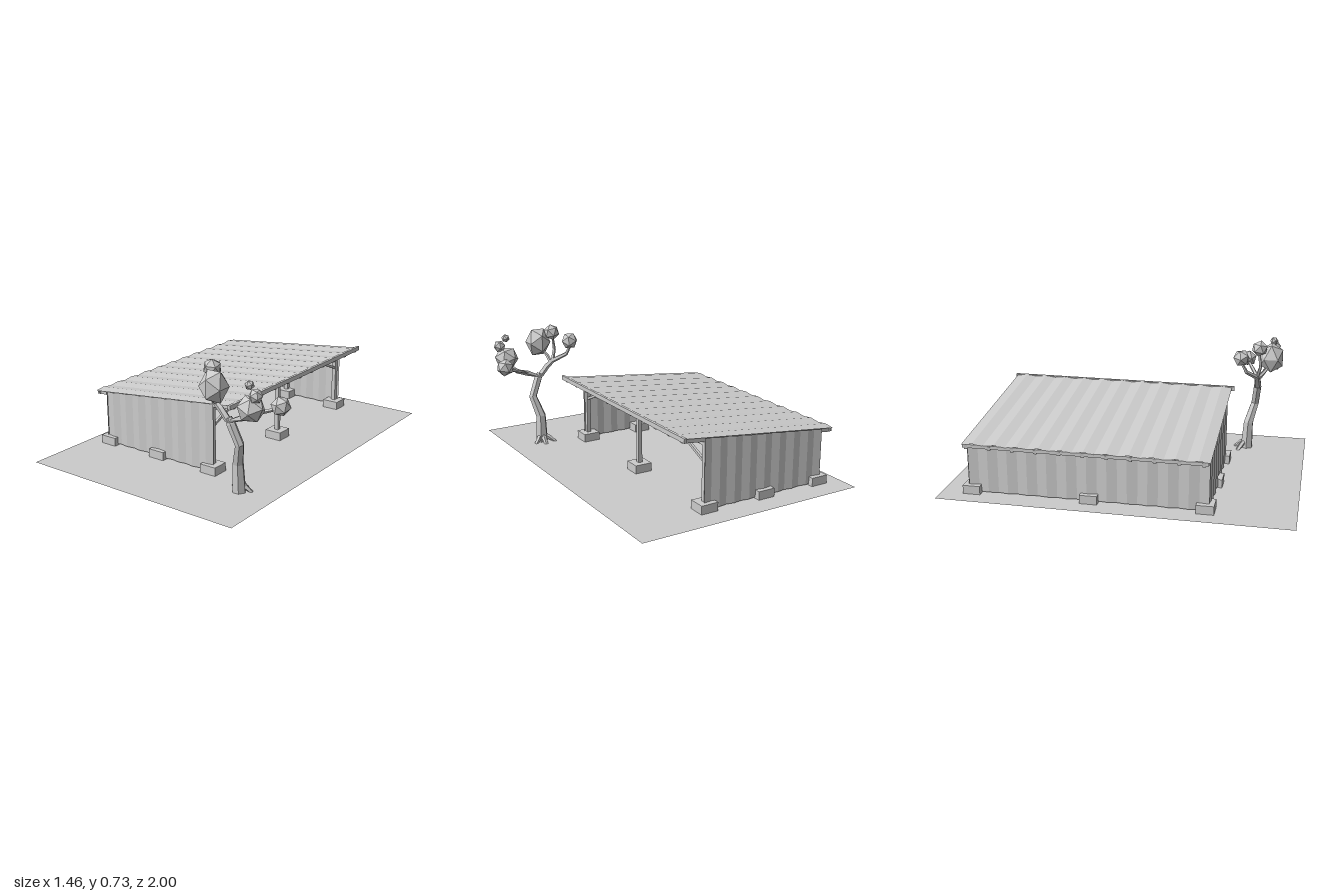
import * as THREE from 'three';

const mat = new THREE.MeshStandardMaterial({ color: 0xcccccc, flatShading: true });
const sheetMat = new THREE.MeshStandardMaterial({ color: 0xcccccc, flatShading: true, side: THREE.DoubleSide });
const V = (x, y, z) => new THREE.Vector3(x, y, z);
const Z_FRONT = 0.53, Z_BACK = -0.84;
const roofY = (x) => 0.318 + (x + 0.68) * 0.112;

export function createModel() {
  const root = new THREE.Group();
  root.name = 'shelterWithTree';

  const add = (parent, name, geometry, material = mat) => {
    const mesh = new THREE.Mesh(geometry, material);
    mesh.name = name;
    parent.add(mesh);
    return mesh;
  };
  const group = (name) => {
    const g = new THREE.Group();
    g.name = name;
    root.add(g);
    return g;
  };
  const block = (parent, name, w, h, d, x, y, z) => {
    const mesh = add(parent, name, new THREE.BoxGeometry(w, h, d));
    mesh.position.set(x, y, z);
    return mesh;
  };
  // Square timber between two points
  const timber = (parent, name, a, b, w, h = w) => {
    const mesh = add(parent, name, new THREE.BoxGeometry(w, h, a.distanceTo(b)));
    mesh.position.copy(a).add(b).multiplyScalar(0.5);
    mesh.lookAt(b);
    return mesh;
  };
  // Folded sheet: place(u, v, fold) maps unit coordinates to space
  const sheet = (parent, name, folds, place) => {
    const geo = new THREE.PlaneGeometry(1, 1, folds * 2, 1);
    const p = geo.attributes.position;
    for (let i = 0; i < p.count; i++) {
      const column = i % (folds * 2 + 1);
      p.setXYZ(i, ...place(p.getX(i) + 0.5, p.getY(i) + 0.5, column % 2 ? 0.004 : -0.004));
    }
    geo.computeVertexNormals();
    return add(parent, name, geo, sheetMat);
  };
  // Tapered faceted limb through points [x, y, z, radius]
  const limb = (parent, name, pts, sides = 5) => {
    const pos = [], index = [];
    const centres = pts.map((p) => V(p[0], p[1], p[2]));
    centres.forEach((c, i) => {
      const dir = centres[Math.min(i + 1, pts.length - 1)].clone()
        .sub(centres[Math.max(i - 1, 0)]).normalize();
      const q = new THREE.Quaternion().setFromUnitVectors(V(0, 1, 0), i ? dir : V(0, 1, 0));
      for (let s = 0; s < sides; s++) {
        const a = (s / sides) * Math.PI * 2;
        const v = V(Math.cos(a), 0, -Math.sin(a)).multiplyScalar(pts[i][3]).applyQuaternion(q).add(c);
        pos.push(v.x, v.y, v.z);
        if (i) {
          const t = (s + 1) % sides, lo = (i - 1) * sides, hi = i * sides;
          index.push(lo + s, lo + t, hi + t, lo + s, hi + t, hi + s);
        }
      }
    });
    const last = (pts.length - 1) * sides;
    for (let s = 1; s < sides - 1; s++) index.push(last, last + s, last + s + 1);
    const geo = new THREE.BufferGeometry();
    geo.setAttribute('position', new THREE.Float32BufferAttribute(pos, 3));
    geo.setIndex(index);
    geo.computeVertexNormals();
    return add(parent, name, geo);
  };

  // Ground sheet
  const ground = add(root, 'ground', new THREE.PlaneGeometry(1.39, 2), sheetMat);
  ground.rotation.x = -Math.PI / 2;
  ground.position.x = -0.035;

  // Footings and posts round the edge
  const frame = group('frame');
  const xs = [-0.58, -0.205, 0.17], zs = [0.508, -0.14, -0.82];
  for (const x of xs) {
    for (const z of zs) {
      if (x === xs[1] && z === zs[1]) continue;
      block(frame, 'footing', 0.105, 0.05, 0.1, x, 0.025, z);
      const top = roofY(x) - 0.03;
      block(frame, 'post', 0.025, top, 0.025, x, top / 2, z);
    }
  }

  // Long beams, corner braces and rafters
  for (const x of xs) {
    const y = roofY(x) - 0.04;
    block(frame, 'beam', 0.025, 0.022, 1.33, x, y, -0.156);
    if (x === xs[1]) continue;
    timber(frame, 'brace', V(x, y - 0.1, 0.5), V(x, y, 0.26), 0.015);
    timber(frame, 'brace', V(x, y - 0.1, -0.81), V(x, y, -0.57), 0.015);
  }
  for (let i = 0; i < 11; i++) {
    const z = 0.505 - i * 0.1325;
    timber(frame, 'rafter', V(-0.675, roofY(-0.675) - 0.017, z), V(0.318, roofY(0.318) - 0.017, z), 0.018, 0.024);
  }

  // Folded walls on three sides; the +x side is open
  const walls = group('walls');
  for (const [name, z] of [['frontWall', Z_FRONT], ['backWall', Z_BACK]]) {
    sheet(walls, name, 8, (u, v, fold) => {
      const x = -0.6 + u * 0.79;
      return [x, 0.008 + v * (roofY(x) - 0.014), z + fold];
    });
  }
  sheet(walls, 'sideWall', 12, (u, v, fold) =>
    [-0.6 + fold, 0.008 + v * (roofY(-0.6) - 0.014), Z_BACK + u * (Z_FRONT - Z_BACK)]);

  // Sloping folded roof with boards at both eaves
  const roof = group('roof');
  sheet(roof, 'roofSheet', 11, (u, v, fold) => {
    const x = -0.68 + v * 1.0;
    return [x, roofY(x) + 0.002 + fold, Z_BACK - 0.005 + u * 1.385];
  });
  block(roof, 'highEaveBoard', 0.016, 0.026, 1.41, 0.318, 0.422, -0.15);
  block(roof, 'lowEaveBoard', 0.01, 0.02, 1.37, -0.67, 0.307, -0.155);

  // Tree trunk, branches and surface roots
  const tree = group('tree');
  limb(tree, 'trunk', [
    [0.442, 0, 0.633, 0.04], [0.44, 0.165, 0.64, 0.032], [0.475, 0.29, 0.675, 0.026],
    [0.43, 0.4, 0.688, 0.026], [0.415, 0.43, 0.69, 0.02]], 6);
  const branches = [
    [[0.42, 0.41, 0.69, 0.024], [0.365, 0.47, 0.69, 0.018], [0.325, 0.502, 0.69, 0.016],
      [0.255, 0.55, 0.63, 0.012], [0.24, 0.61, 0.6, 0.008]],
    [[0.335, 0.49, 0.69, 0.013], [0.342, 0.53, 0.73, 0.011], [0.375, 0.58, 0.77, 0.007]],
    [[0.325, 0.5, 0.69, 0.012], [0.3, 0.57, 0.71, 0.01], [0.315, 0.66, 0.7, 0.007]],
    [[0.42, 0.41, 0.69, 0.022], [0.5, 0.445, 0.685, 0.018], [0.565, 0.46, 0.71, 0.014],
      [0.61, 0.52, 0.755, 0.008]],
    [[0.5, 0.445, 0.685, 0.015], [0.59, 0.483, 0.64, 0.012], [0.675, 0.51, 0.605, 0.008]]];
  branches.forEach((b) => limb(tree, 'branch', b));
  for (const [x, z] of [[0.375, 0.585], [0.445, 0.565], [0.495, 0.6]]) {
    limb(tree, 'root', [[x, 0, z, 0.014], [(x + 0.44) / 2, 0.028, (z + 0.63) / 2, 0.016],
      [0.44, 0.045, 0.63, 0.012]]);
  }

  // Faceted leaf clumps: [x, y, z, radius, height stretch]
  const clumps = [
    [0.385, 0.615, 0.77, 0.08, 1.22], [0.32, 0.685, 0.7, 0.05, 1], [0.245, 0.64, 0.598, 0.053, 1],
    [0.607, 0.54, 0.76, 0.077, 0.95], [0.682, 0.523, 0.605, 0.054, 1],
    [0.645, 0.617, 0.775, 0.038, 1], [0.605, 0.665, 0.77, 0.026, 1]];
  clumps.forEach(([x, y, z, r, stretch], i) => {
    const geo = new THREE.IcosahedronGeometry(r, 0);
    geo.rotateY(i * 1.3).rotateX(i * 0.7).scale(1, stretch, 1);
    add(tree, 'leafClump', geo).position.set(x, y, z);
  });

  return root;
}
